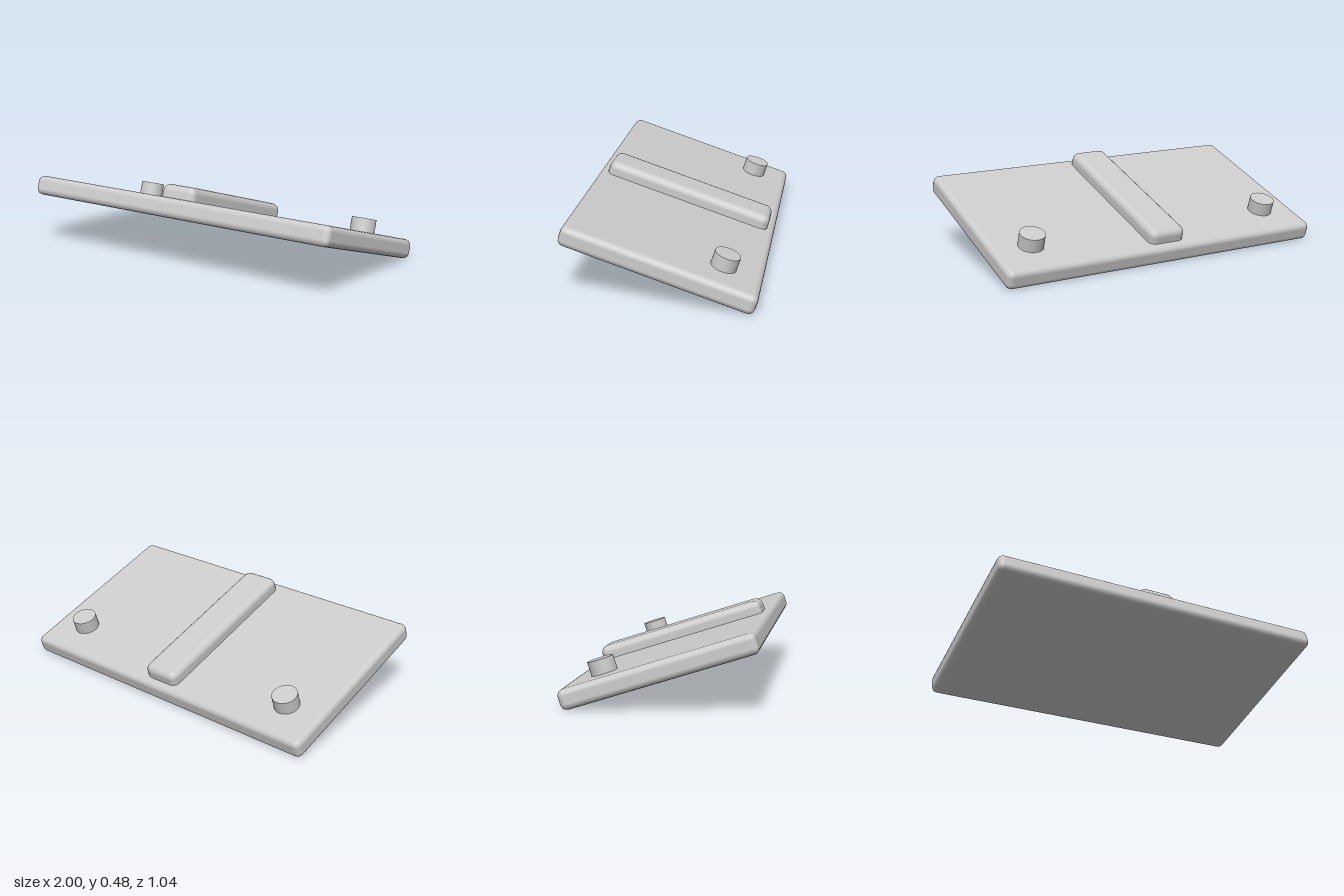
import * as THREE from 'three';
import { RoundedBoxGeometry } from 'three/addons/geometries/RoundedBoxGeometry.js';

export function createModel() {
  const material = new THREE.MeshStandardMaterial({ color: 0xcccccc });
  const model = new THREE.Group();
  model.name = 'tiltedPanel';

  // everything is built flat, then tilted so the front edge is raised
  const panel = new THREE.Group();
  panel.name = 'panel';
  panel.position.set(0, 0.213, 0.002);
  panel.rotation.x = -Math.PI / 10;
  model.add(panel);

  const add = (name, geometry, x, y, z) => {
    const mesh = new THREE.Mesh(geometry, material);
    mesh.name = name;
    mesh.position.set(x, y, z);
    panel.add(mesh);
  };

  // main board
  add('board', new RoundedBoxGeometry(2, 0.113, 1.082, 2, 0.035), 0, 0, 0);

  // raised centre rib, partly sunk into the board
  add('centreRib', new RoundedBoxGeometry(0.225, 0.154, 0.99, 2, 0.042), 0, 0.057, 0.003);

  // two round pegs near the back edge
  for (const side of [-1, 1]) {
    add(side > 0 ? 'leftPeg' : 'rightPeg',
      new THREE.CylinderGeometry(0.072, 0.072, 0.11, 32), side * 0.772, 0.08, -0.316);
  }
  return model;
}
